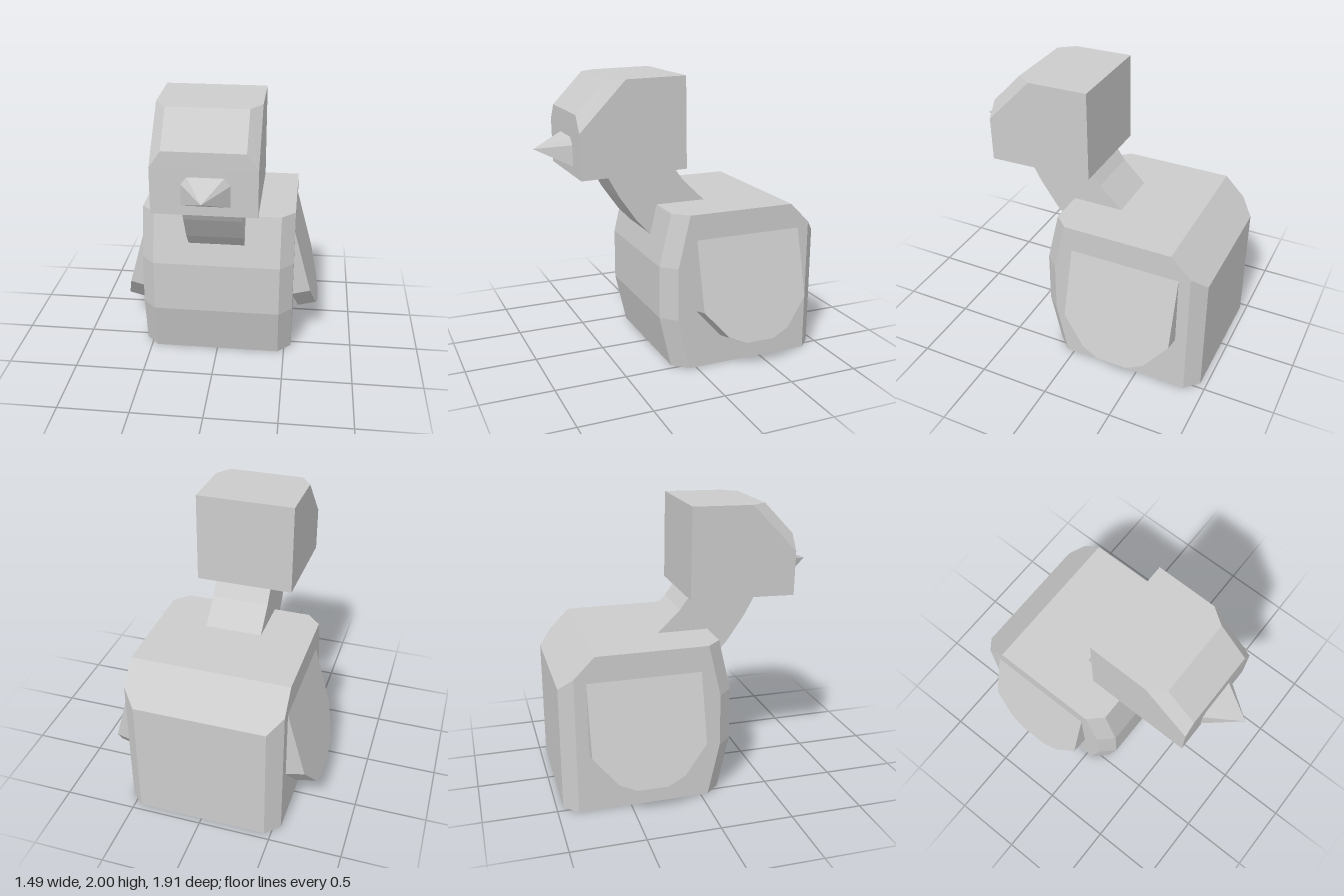
import * as THREE from 'three';
import { ConvexGeometry } from 'three/addons/geometries/ConvexGeometry.js';

const material = new THREE.MeshStandardMaterial({ color: 0xcccccc, flatShading: true });

function part(name, geometry) {
  const mesh = new THREE.Mesh(geometry, material);
  mesh.name = name;
  return mesh;
}

// Faceted solid around corner points
const hull = (points) => new ConvexGeometry(points.map((p) => new THREE.Vector3(...p)));

// Flat slab: outline in (z, y), thickness running towards -x
function slab(outline, depth) {
  const shape = new THREE.Shape(outline.map((p) => new THREE.Vector2(...p)));
  return new THREE.ExtrudeGeometry(shape, { depth, bevelEnabled: false }).rotateY(-Math.PI / 2);
}

// Mirrored pair of points around a centre line
const pair = (x, y, z, cx = 0) => [[cx + x, y, z], [cx - x, y, z]];

export function createModel() {
  const model = new THREE.Group();
  model.name = 'bird';

  // Body: chamfered block with a bulging chest and sloped rump
  const chest = [[0, 0.15], [0.37, 0.235], [0.74, 0.235], [1.105, 0.15]];
  const body = [
    ...pair(0.455, 0, -0.955), ...pair(0.55, 0, -0.862),
    ...pair(0.455, 0.868, -0.955), ...pair(0.55, 0.962, -0.862),
    ...pair(0.55, 1.105, -0.72),
  ];
  for (const [y, z] of chest) body.push(...pair(0.455, y, z), ...pair(0.55, y, z - 0.1));
  model.add(part('body', hull(body)));

  // Neck: bent forward, ends sunk into body and head
  model.add(part('neck', slab([
    [0.09, 0.8], [0.2, 0.9], [0.295, 1.0], [0.42, 1.18], [0.52, 1.36], [0.55, 1.45],
    [0.09, 1.45], [0.03, 1.37], [-0.05, 1.26], [-0.21, 1.105], [-0.3, 1.02],
  ], 0.4).translate(0.2, 0, 0)));

  // Head: block with a chamfered forehead
  const cx = -0.018;
  model.add(part('head', hull([
    ...pair(0.342, 1.37, -0.022, cx), ...pair(0.342, 2.0, -0.012, cx),
    ...pair(0.342, 1.35, 0.725, cx), ...pair(0.342, 1.66, 0.73, cx),
    ...pair(0.267, 1.77, 0.73, cx),
    ...pair(0.267, 1.99, 0.52, cx), ...pair(0.342, 1.992, 0.41, cx),
  ])));

  // Beak: short pyramid with clipped upper corners
  model.add(part('beak', hull([
    ...pair(0.158, 1.413, 0.725, -0.007), ...pair(0.158, 1.557, 0.725, -0.007),
    ...pair(0.12, 1.608, 0.725, -0.007), [-0.005, 1.52, 0.955],
  ])));

  // Wings: slabs splayed outwards, rounded at the lower tip
  const outline = [
    [0, 0.77], [0, 0.25], [-0.165, 0.057], [-0.285, 0],
    [-0.5, 0], [-0.62, 0.057], [-0.78, 0.25], [-0.78, 0.77],
  ];
  for (const side of [1, -1]) {
    const wing = part(side > 0 ? 'leftWing' : 'rightWing', slab(outline, 0.14));
    wing.rotation.z = side * 0.264;
    wing.position.set(side > 0 ? 0.743 : -0.608, side > 0 ? 0.212 : 0.175, 0);
    model.add(wing);
  }

  return model;
}
